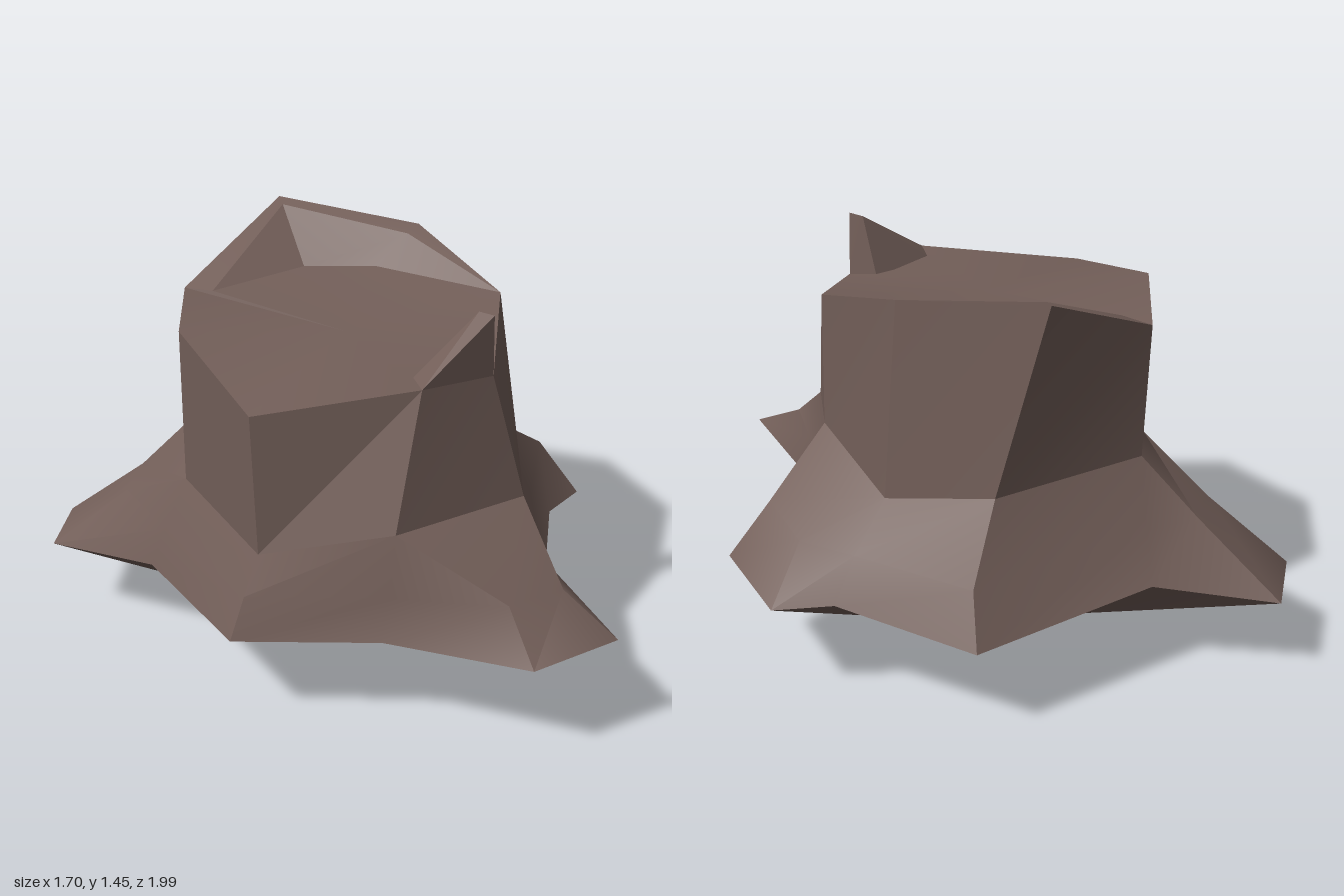
import * as THREE from 'three';
import { toCreasedNormals } from 'three/addons/utils/BufferGeometryUtils.js';

const bark = new THREE.MeshStandardMaterial({ color: 0x735f59 });
bark.name = 'barkBrown';

// Collects polygons (fanned, degenerate triangles dropped) into one mesh
function build(name, polygons, crease) {
  const pos = [];
  for (const p of polygons) {
    for (let i = 1; i < p.length - 1; i++) {
      const [a, b, c] = [p[0], p[i], p[i + 1]];
      if (a === b || b === c || a === c) continue;
      pos.push(...a, ...b, ...c);
    }
  }
  const g = new THREE.BufferGeometry();
  g.setAttribute('position', new THREE.Float32BufferAttribute(pos, 3));
  const mesh = new THREE.Mesh(toCreasedNormals(g, crease), bark);
  mesh.name = name;
  return mesh;
}

// Quads between two rings of equal length, lower ring first
const band = (low, high) => low.map((p, i) => {
  const j = (i + 1) % low.length;
  return [p, low[j], high[j], high[i]];
});

export function createModel() {
  const group = new THREE.Group();
  group.name = 'treeStump';

  // Trunk rings, counterclockwise from the front right corner
  const top = [
    [-0.63, 1.16, 0.17], [-0.15, 1.22, 0.44], [0.15, 1.18, 0.43], [0.445, 1.28, 0.10],
    [0.415, 1.40, -0.32], [0.10, 1.45, -0.72], [-0.36, 1.25, -0.63], [-0.59, 1.27, -0.30],
  ];
  const waist = [
    [-0.61, 0.65, 0.17], [-0.29, 0.76, 0.49], [0.245, 0.73, 0.49], [0.43, 0.80, 0.13],
    [0.445, 0.70, -0.29], [0.22, 0.77, -0.60], [-0.36, 0.77, -0.60], [-0.57, 0.70, -0.33],
  ];
  group.add(build('trunk', band(waist, top), 0.45));

  // Flared roots: three pairs of tips with valleys between, closed to a point below
  const collar = [0, 1, 1, 2, 2, 3, 3, 4, 4, 5, 6, 6, 7, 7].map((i) => waist[i]);
  const crest = [
    [-0.67, 0.51, 0.17], [-0.32, 0.54, 0.50], [-0.05, 0.55, 0.78], [0.18, 0.53, 0.78],
    [0.27, 0.53, 0.53], [0.51, 0.54, 0.22], [0.69, 0.61, 0.05], [0.70, 0.56, -0.17],
    [0.58, 0.54, -0.32], [0.36, 0.52, -0.69], [-0.33, 0.54, -0.68], [-0.50, 0.56, -0.74],
    [-0.64, 0.55, -0.62], [-0.63, 0.50, -0.38],
  ];
  const hem = [
    [-0.73, 0.36, 0.17], [-0.35, 0.38, 0.50], [-0.09, 0.41, 0.96], [0.24, 0.42, 0.99],
    [0.30, 0.41, 0.55], [0.61, 0.42, 0.21], [0.81, 0.40, 0.13], [0.85, 0.38, -0.24],
    [0.67, 0.39, -0.34], [0.41, 0.35, -0.79], [-0.31, 0.36, -0.75], [-0.66, 0.31, -1.0],
    [-0.85, 0.32, -0.80], [-0.67, 0.35, -0.42],
  ];
  const foot = [0.05, 0, -0.05];
  group.add(build('roots', [...band(crest, collar), ...band(hem, crest)], 0.8));
  group.add(build('underside', hem.map((p, i) => [foot, hem[(i + 1) % hem.length], p]), 0.8));

  // Slanted cut face
  const inner = [[0.24, 1.28, -0.33], [0.05, 1.27, -0.50], [-0.31, 1.26, -0.53]];
  const cut = [...top.slice(0, 4), ...inner, top[6], top[7]];
  const heart = [-0.1, 1.23, -0.05];
  group.add(build('cutFace', cut.map((p, i) => [heart, p, cut[(i + 1) % cut.length]]), 0.5));

  // Raised broken rim along the back
  const lipA = [0.36, 1.38, -0.31], lipB = [0.08, 1.44, -0.67];
  group.add(build('brokenRim', [
    [top[3], top[4], lipA], [top[4], top[5], lipB, lipA], [top[5], top[6], inner[2], lipB],
    [top[3], lipA, inner[0]], [lipA, lipB, inner[1], inner[0]], [lipB, inner[2], inner[1]],
  ], 0.4));

  // Pointed splinter standing on the front edge
  const [l, r, p] = [top[1], top[2], [0.14, 1.40, 0.44]];
  const [lb, rb, pb] = [[-0.14, 1.20, 0.345], [0.10, 1.20, 0.335], [0.12, 1.40, 0.385]];
  group.add(build('splinter', [[l, r, p], [r, rb, pb, p], [rb, lb, pb], [l, p, pb, lb], [l, lb, rb, r]], 0.3));

  return group;
}
